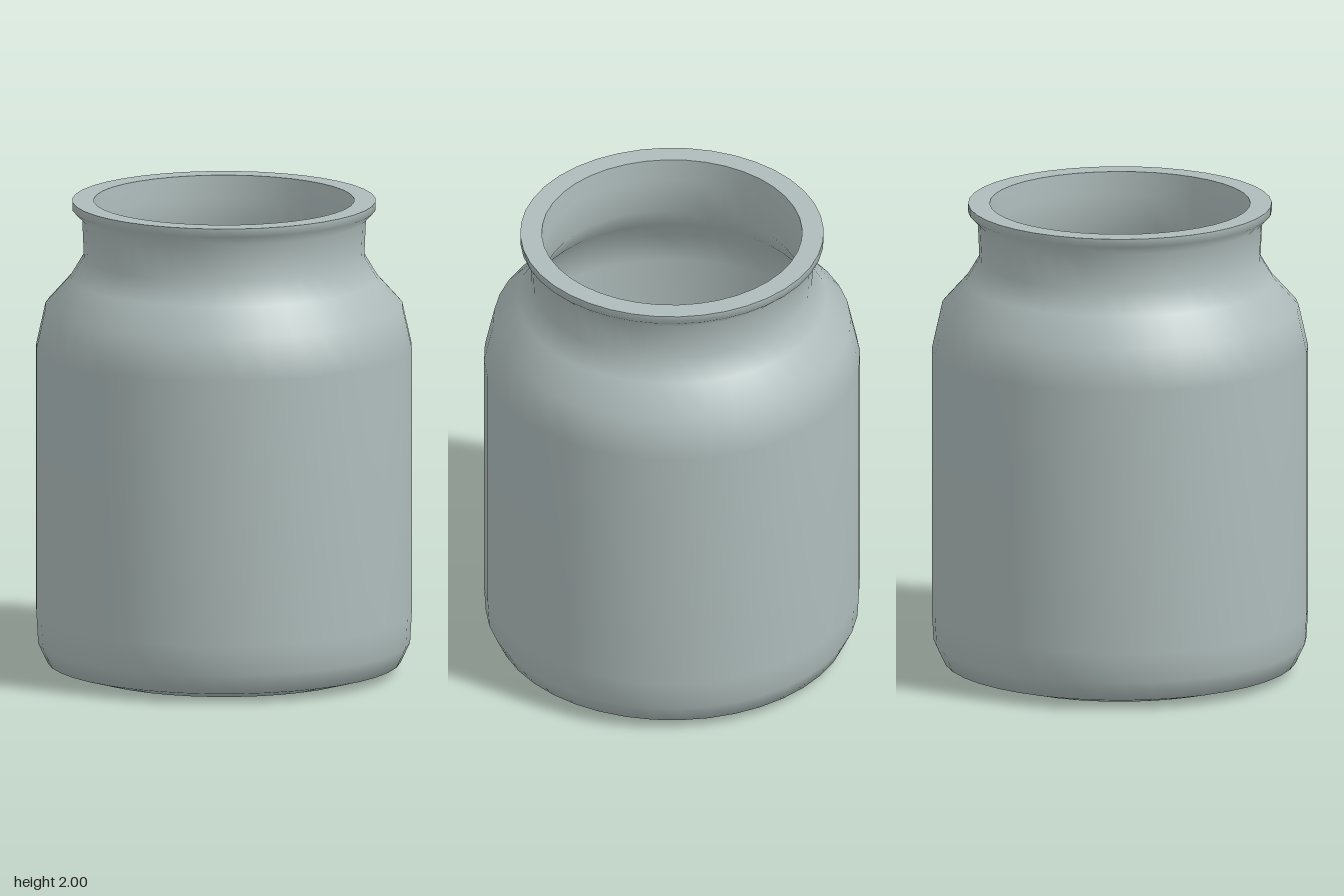
import * as THREE from 'three';

const SEGMENTS = 40;

export function createModel() {
  const jar = new THREE.Group();
  jar.name = 'jar';

  const glaze = new THREE.MeshStandardMaterial({ color: 0xaebcbb });
  glaze.name = 'grey green glaze';

  // Revolves one [radius, height] profile; separate profiles keep the edges between them sharp
  const turn = (name, profile) => {
    const points = profile.map(([r, y]) => new THREE.Vector2(r, y));
    const mesh = new THREE.Mesh(new THREE.LatheGeometry(points, SEGMENTS), glaze);
    mesh.name = name;
    jar.add(mesh);
  };

  // Flat underside
  turn('base', [[0, 0], [0.6, 0]]);

  // Rounded foot, straight body, shoulder, neck and flared lip
  turn('outerWall', [
    [0.6, 0], [0.74, 0.04], [0.78, 0.125], [0.787, 0.25],
    [0.787, 1.38], [0.748, 1.555], [0.645, 1.67], [0.588, 1.765],
    [0.595, 1.925], [0.635, 1.965], [0.635, 2],
  ]);

  // Flat ring around the mouth
  turn('rim', [[0.635, 2], [0.545, 2]]);

  // Hollow inside, from the mouth down to the floor
  turn('innerWall', [
    [0.545, 2], [0.54, 1.9], [0.54, 1.75], [0.6, 1.64], [0.7, 1.52],
    [0.735, 1.37], [0.735, 0.25], [0.725, 0.14], [0.69, 0.08], [0.58, 0.05],
  ]);
  turn('floor', [[0.58, 0.05], [0, 0.05]]);

  return jar;
}
